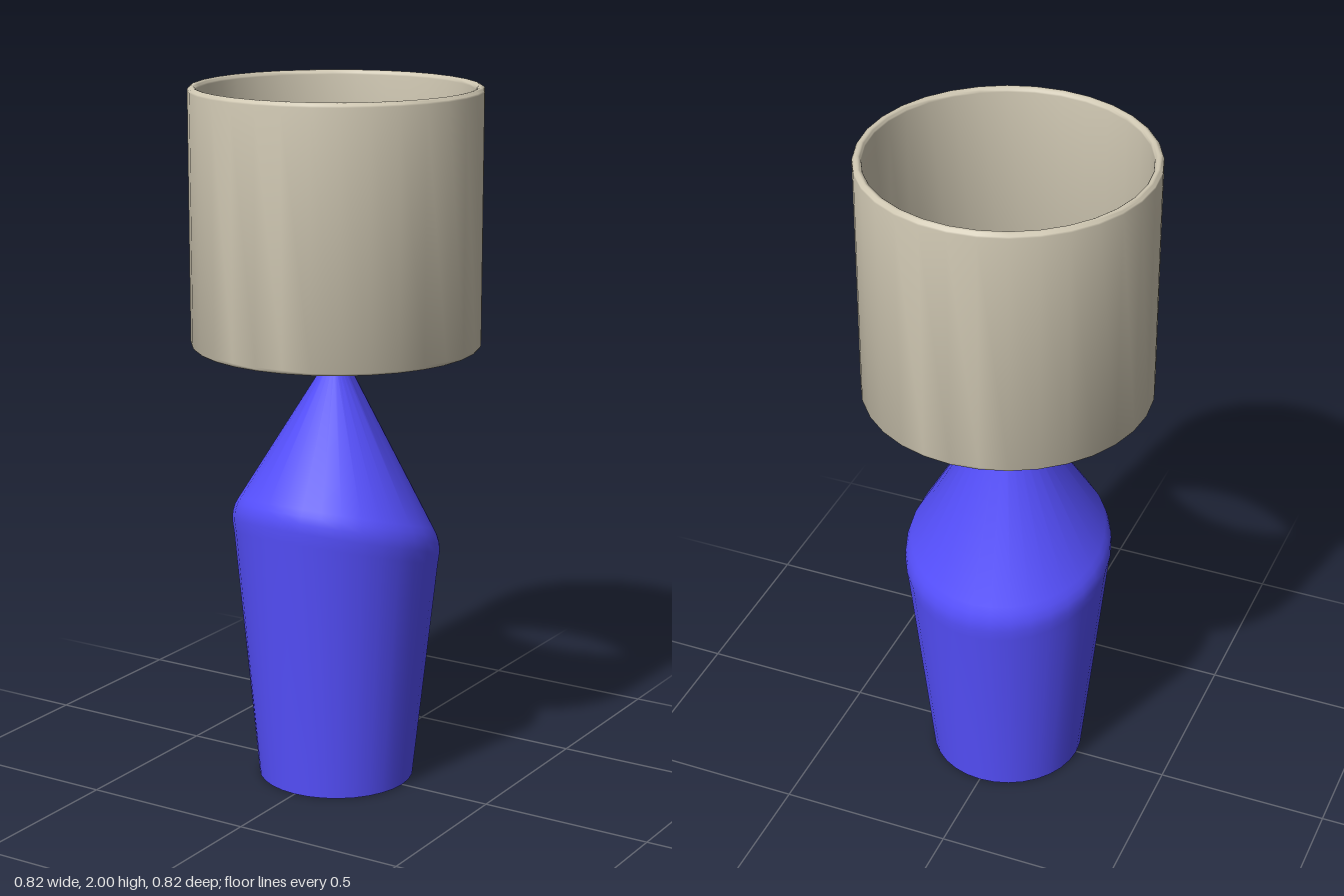
import * as THREE from 'three';
import { mergeVertices, toCreasedNormals } from 'three/addons/utils/BufferGeometryUtils.js';

const SIDES = 32;

// Smooth lathe whose sharp edges stay crisp
function finish(geo, crease) {
  geo.deleteAttribute('normal');
  geo.deleteAttribute('uv');
  return toCreasedNormals(mergeVertices(geo, 1e-4), crease);
}

// Each row is [radius, height, tilt]: a ring turned about the x axis
function tiltedLathe(rows) {
  const geo = new THREE.LatheGeometry(rows.map(([r, y]) => new THREE.Vector2(r, y)), SIDES);
  const pos = geo.attributes.position;
  for (let i = 0; i < pos.count; i++) {
    const tilt = rows[i % rows.length][2];
    const z = pos.getZ(i);
    pos.setY(i, pos.getY(i) + z * Math.sin(tilt));
    pos.setZ(i, z * Math.cos(tilt));
  }
  return finish(geo, 0.6);
}

// Hollow drum with rounded rims
function shadeGeometry() {
  const outer = 0.408, inner = 0.383, bottom = 1.275, top = 2;
  const mid = (outer + inner) / 2, half = (outer - inner) / 2;
  const pts = [];
  const arc = (y, from) => {
    for (let i = 0; i <= 8; i++) {
      const a = from + (i / 8) * Math.PI;
      pts.push(new THREE.Vector2(mid + half * Math.cos(a), y + half * Math.sin(a)));
    }
  };
  arc(bottom + half, Math.PI);
  arc(top - half, 0);
  pts.push(pts[0].clone());
  return finish(new THREE.LatheGeometry(pts, SIDES), 0.9);
}

export function createModel() {
  const model = new THREE.Group();
  const blue = new THREE.MeshStandardMaterial({ color: 0x5650ff });
  const cream = new THREE.MeshStandardMaterial({ color: 0xcfc7b2 });

  // Tapered body with a slanted, softened shoulder and a thin neck
  const T = 0.295;
  const base = new THREE.Mesh(tiltedLathe([
    [0, 0, 0], [0.224, 0, 0],
    [0.296, 0.68, T], [0.301, 0.715, T], [0.299, 0.742, T], [0.292, 0.765, T], [0.282, 0.784, T],
    [0.04, 1.21, 0], [0.04, 1.38, 0], [0, 1.38, 0],
  ]), blue);
  base.name = 'lampBase';

  const shade = new THREE.Mesh(shadeGeometry(), cream);
  shade.name = 'lampShade';

  model.add(base, shade);
  return model;
}
